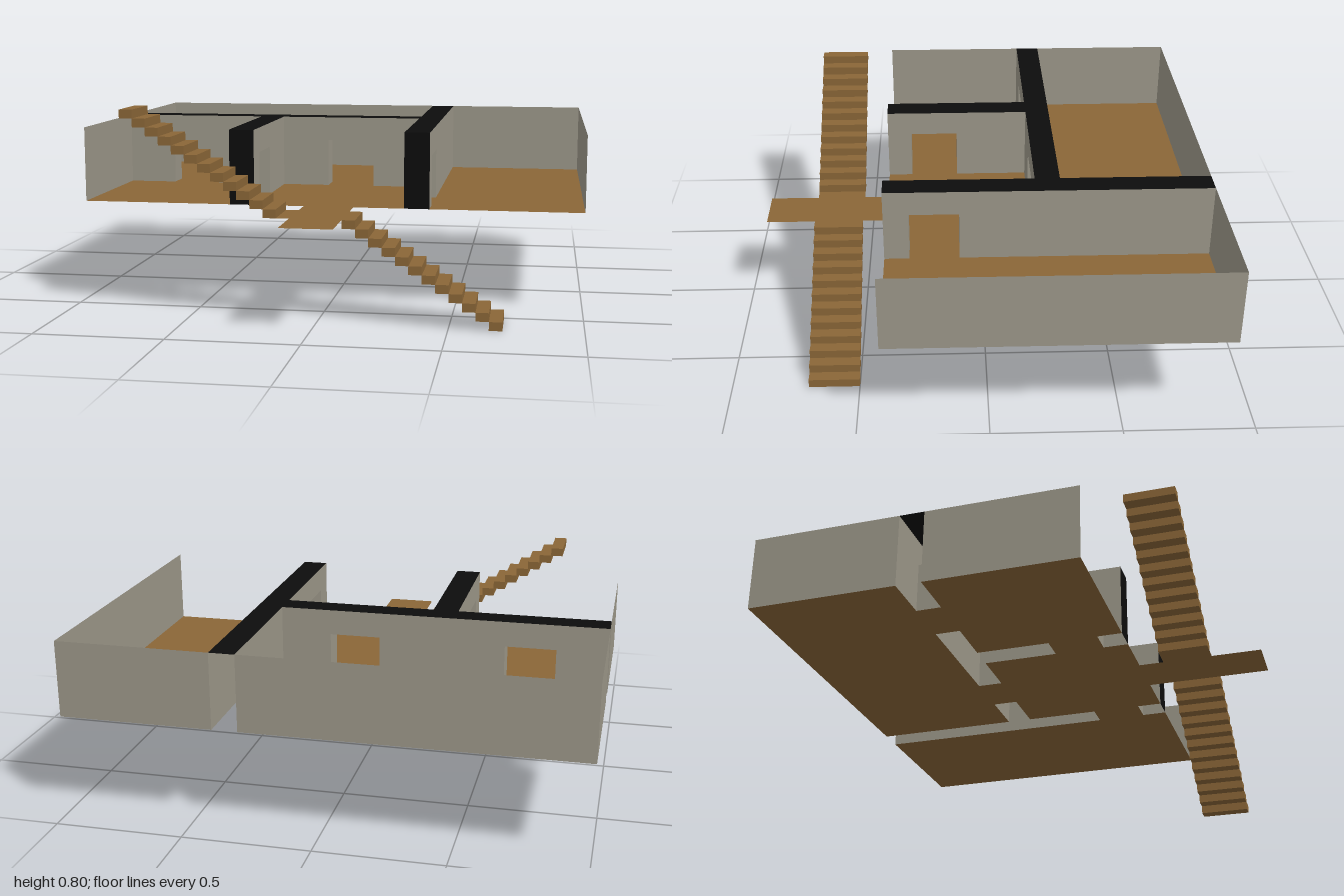
import * as THREE from 'three';

const FLOOR = 0.4, HEIGHT = 0.3, DOOR = 0.2;

export function createModel() {
  const model = new THREE.Group();
  const make = (name, color) => new THREE.MeshStandardMaterial({ name, color, side: THREE.DoubleSide });
  const wood = make('wood', 0x8a6637);
  const plaster = make('plaster', 0x9c9789);
  const black = make('black', 0x0d0d0d);

  const add = (name, geometry, material) => {
    const mesh = new THREE.Mesh(geometry, material);
    mesh.name = name;
    model.add(mesh);
    return mesh;
  };

  // Horizontal sheet between two corners
  const sheet = (name, x0, x1, z0, z1, y, material) => {
    const g = new THREE.PlaneGeometry(x1 - x0, z1 - z0).rotateX(-Math.PI / 2);
    add(name, g.translate((x0 + x1) / 2, y, (z0 + z1) / 2), material);
  };

  // Upright sheet along 'x' or 'z', notched at each [start, end] doorway
  const panel = (name, axis, at, from, to, doors = [], material = plaster, height = HEIGHT) => {
    const s = new THREE.Shape();
    s.moveTo(from, 0);
    for (const [a, b] of doors) s.lineTo(a, 0).lineTo(a, DOOR).lineTo(b, DOOR).lineTo(b, 0);
    s.lineTo(to, 0).lineTo(to, height).lineTo(from, height);
    const g = new THREE.ShapeGeometry(s);
    if (axis === 'z') g.rotateY(-Math.PI / 2).translate(at, FLOOR, 0);
    else g.translate(0, FLOOR, at);
    add(name, g, material);
  };

  // Room floors, with open strips beneath the hollow walls
  sheet('backRoomFloor', -1, 0.3, -0.9, -0.3, FLOOR, wood);
  sheet('leftRoomFloor', -1, -0.4, -0.2, 0.4, FLOOR, wood);
  sheet('middleRoomFloor', -0.3, 0.3, -0.2, 0.4, FLOOR, wood);
  sheet('sideRoomFloor', 0.4, 1, -0.9, 0.4, FLOOR, wood);

  // Landing and its short strip to the upper stair
  sheet('landing', -0.1, 0.1, 0.4, 0.9, FLOOR, wood);
  sheet('landingStrip', -0.15, -0.1, 0.5, 0.7, FLOOR, wood);

  // Outer walls, open where the hollow walls meet them
  panel('backWall', 'x', -0.9, -1, 0.3);
  panel('backWall', 'x', -0.9, 0.4, 1);
  panel('outerWall', 'z', -1, -0.9, -0.3);
  panel('outerWall', 'z', -1, -0.2, 0.4);
  panel('outerWall', 'z', 1, -0.9, 0.4);

  // Hollow inner walls
  const crossDoors = [[-0.8, -0.6], [-0.1, 0.1]];
  const sideDoor = [[0.1, 0.3]];
  panel('crossWall', 'x', -0.3, -1, 0.3, crossDoors);
  panel('crossWall', 'x', -0.2, -1, -0.4, [crossDoors[0]]);
  panel('crossWall', 'x', -0.2, -0.3, 0.3, [crossDoors[1]]);
  panel('shortWall', 'z', -0.4, -0.2, 0.4, sideDoor);
  panel('shortWall', 'z', -0.3, -0.2, 0.4, sideDoor);
  panel('longWall', 'z', 0.3, -0.9, -0.3);
  panel('longWall', 'z', 0.3, -0.2, 0.4, sideDoor);
  panel('longWall', 'z', 0.4, -0.9, 0.4, sideDoor);

  // Door jambs, lintels and thresholds
  for (const [a, b] of crossDoors) {
    for (const x of [a, b]) panel('doorJamb', 'z', x, -0.3, -0.2, [], plaster, DOOR);
    sheet('doorLintel', a, b, -0.3, -0.2, FLOOR + DOOR, plaster);
    sheet('threshold', a, b, -0.3, -0.2, FLOOR, wood);
  }
  for (const x of [-0.4, 0.3]) {
    for (const z of sideDoor[0]) panel('doorJamb', 'x', z, x, x + 0.1, [], plaster, DOOR);
    sheet('doorLintel', x, x + 0.1, 0.1, 0.3, FLOOR + DOOR, plaster);
    sheet('threshold', x, x + 0.1, 0.1, 0.3, FLOOR, wood);
    // Black cut end facing the front
    panel('wallEnd', 'x', 0.4, x, x + 0.1, [], black);
  }

  // Black wall tops
  sheet('crossWallTop', -1, 0.3, -0.3, -0.2, FLOOR + HEIGHT, black);
  sheet('shortWallTop', -0.4, -0.3, -0.2, 0.4, FLOOR + HEIGHT, black);
  sheet('longWallTop', 0.3, 0.4, -0.9, 0.4, FLOOR + HEIGHT, black);

  // Two flights of twelve steps: one down from the landing, one up
  const rise = FLOOR / 12, run = 0.05;
  const step = new THREE.BoxGeometry(run, rise, 0.2);
  for (let i = 0; i < 12; i++) {
    add('lowerStep', step, wood).position.set(0.7 - (i + 0.5) * run, (i + 0.5) * rise, 0.6);
    add('upperStep', step, wood).position.set(-0.15 - (i + 0.5) * run, FLOOR + (i + 0.5) * rise, 0.6);
  }
  return model;
}
